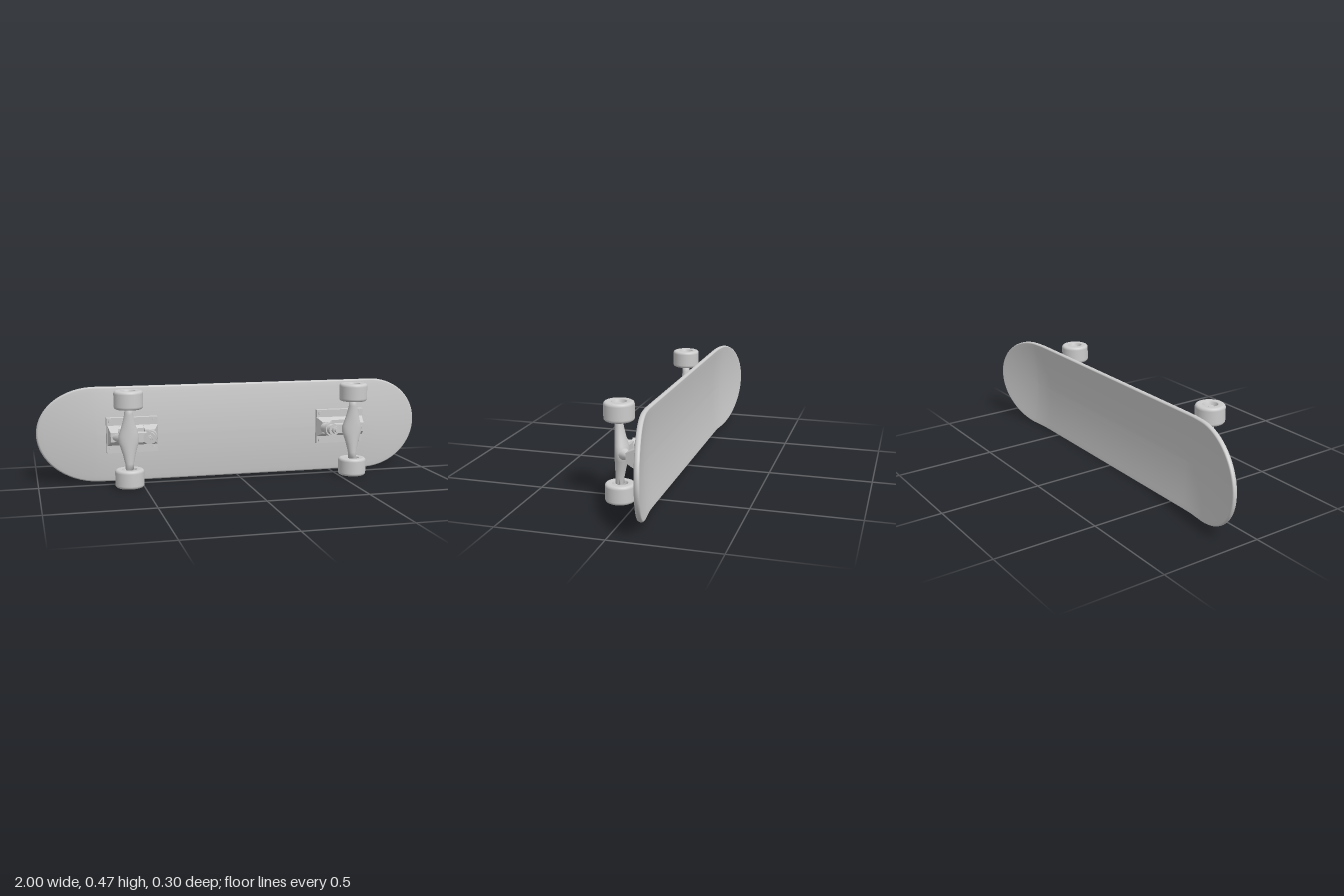
import * as THREE from 'three';

const material = new THREE.MeshStandardMaterial({ color: 0xcccccc });
const HALF_WIDTH = 0.237, MID_Y = 0.237;

function add(parent, name, geometry, x = 0, y = 0, z = 0) {
  const mesh = new THREE.Mesh(geometry, material);
  mesh.name = name;
  mesh.position.set(x, y, z);
  parent.add(mesh);
  return mesh;
}

// Closed-ring loft: each ring is an array of Vector3; caps fill the two ends if asked.
function loft(rings, caps) {
  const n = rings[0].length, pos = [], index = [];
  rings.forEach(r => r.forEach(p => pos.push(p.x, p.y, p.z)));
  for (let i = 0; i < rings.length - 1; i++) {
    for (let j = 0; j < n; j++) {
      const a = i * n + j, b = i * n + (j + 1) % n;
      index.push(a, a + n, b + n, a, b + n, b);
    }
  }
  if (caps) {
    const last = (rings.length - 1) * n;
    for (let j = 1; j < n - 1; j++) {
      index.push(0, j, j + 1, last, last + j + 1, last + j);
    }
  }
  const g = new THREE.BufferGeometry();
  g.setAttribute('position', new THREE.Float32BufferAttribute(pos, 3));
  g.setIndex(index);
  g.computeVertexNormals();
  return g;
}

// Deck: nested stadium outlines, bent up at both ends and slightly dished across.
function deckGeometry() {
  const straight = 0.71, endLength = 0.29, thick = 0.025;
  const outline = [];
  for (const s of [1, -1]) {
    for (let i = 0; i <= 32; i++) {
      const t = -Math.PI / 2 + Math.PI * i / 32;
      outline.push([s * straight, s * Math.cos(t) * endLength, s * Math.sin(t) * HALF_WIDTH]);
    }
    for (let i = 1; i < 24; i++) {
      outline.push([s * straight * (1 - i / 12), 0, s * HALF_WIDTH]);
    }
  }
  const surface = (x, y) =>
    -0.043 - 0.017 * (y / HALF_WIDTH) ** 2 - 0.066 * 1.24 * Math.max(0, (Math.abs(x) - 0.63) / 0.37) ** 1.6;
  const inner = [0, 0.15, 0.3, 0.45, 0.6, 0.75, 0.88];
  const levels = inner.map(k => [k, 0]);
  for (let i = 0; i <= 8; i++) {
    const t = Math.PI * i / 8;
    levels.push([0.965 + 0.035 * Math.sin(t), thick * (1 - Math.cos(t)) / 2]);
  }
  levels.push(...inner.slice().reverse().map(k => [k, thick]));
  return loft(levels.map(([k, depth]) => outline.map(([cx, ex, ey]) => {
    const x = cx + ex * k, y = ey * k;
    return new THREE.Vector3(x, y, surface(x, y) - depth);
  })), false);
}

// Wheel: rounded tyre with a recessed hub on both sides, axis along y.
function wheelGeometry() {
  const h = 0.0445, r = 0.07, c = 0.013, pts = [];
  const half = [[0, 0.022], [0.028, 0.022], [0.029, 0.022], [0.034, h - 0.003], [0.038, h]];
  for (let i = 0; i <= 5; i++) {
    const t = Math.PI / 2 * (1 - i / 5);
    half.push([r - c + c * Math.cos(t), h - c + c * Math.sin(t)]);
  }
  half.push([r, h - c - 0.001]);
  half.forEach(([x, y]) => pts.push(new THREE.Vector2(x, -y)));
  half.reverse().forEach(([x, y]) => pts.push(new THREE.Vector2(x, y)));
  return new THREE.LatheGeometry(pts, 40);
}

// Block between z0 and z1 whose outer (z1) end has its own size and x shift.
function taperedBlock(w0, h0, w1, h1, z0, z1, shift = 0) {
  const g = new THREE.BoxGeometry(1, 1, 1), p = g.attributes.position;
  for (let i = 0; i < p.count; i++) {
    const top = p.getZ(i) > 0;
    p.setXYZ(i, p.getX(i) * (top ? w1 : w0) + (top ? shift : 0),
      p.getY(i) * (top ? h1 : h0), top ? z1 : z0);
  }
  g.computeVertexNormals();
  return g;
}

// Hanger: elliptical sections along the axle, swelling in the middle with a straight front.
function hangerGeometry() {
  const half = [[0.15, 0.019, 0.064], [0.12, 0.021, 0.062], [0.075, 0.031, 0.053],
    [0.035, 0.043, 0.043], [0.015, 0.05, 0.038]];
  const stations = [...half.map(([y, ...r]) => [-y, ...r]), ...half.slice().reverse()];
  return loft(stations.map(([y, rx, back]) => {
    const ring = [], mid = (0.103 + back) / 2, rz = (0.103 - back) / 2;
    for (let j = 0; j < 24; j++) {
      const t = Math.PI * 2 * j / 24;
      ring.push(new THREE.Vector3(Math.cos(t) * rx, y, mid + Math.sin(t) * rz));
    }
    return ring.reverse();
  }).reverse(), true);
}

// Cylinder running between two points of the y = 0 plane.
function rod(parent, name, from, to, r0, r1, sides = 20) {
  const a = new THREE.Vector3(from[0], 0, from[1]), b = new THREE.Vector3(to[0], 0, to[1]);
  const mesh = add(parent, name, new THREE.CylinderGeometry(r1, r0, a.distanceTo(b), sides));
  mesh.position.copy(a).lerp(b, 0.5);
  mesh.quaternion.setFromUnitVectors(new THREE.Vector3(0, 1, 0), b.sub(a).normalize());
}

// Truck: local +x points to the nearer end of the deck.
function createTruck() {
  const truck = new THREE.Group();

  // Baseplate with its pivot housing, kingpin seat and joining rib
  add(truck, 'baseplate', taperedBlock(0.254, 0.178, 0.25, 0.174, -0.05, -0.025), -0.03);
  add(truck, 'pivotHousing', taperedBlock(0.06, 0.1, 0.035, 0.045, -0.026, 0.028, 0.002), 0.062);
  add(truck, 'kingpinSeat', taperedBlock(0.075, 0.1, 0.05, 0.06, -0.026, 0.012, 0.008), -0.12);
  add(truck, 'baseRib', taperedBlock(0.17, 0.1, 0.14, 0.07, -0.026, -0.008), -0.03);
  for (const x of [-0.137, 0.077]) {
    for (const y of [-0.07, 0.07]) {
      const bolt = add(truck, 'mountingBolt', new THREE.CylinderGeometry(0.011, 0.011, 0.012, 6), x, y, -0.02);
      bolt.rotation.x = Math.PI / 2;
    }
  }

  // Hanger with its pivot arm and the yoke around the kingpin
  add(truck, 'hanger', hangerGeometry());
  rod(truck, 'pivotArm', [0.015, 0.068], [0.066, 0.012], 0.033, 0.014);
  add(truck, 'yoke', taperedBlock(0.075, 0.055, 0.075, 0.045, 0.043, 0.062), -0.06);

  // Kingpin stack along its tilted axis; distances run from the base outwards
  const along = d => [-0.128 + 0.28 * d, -0.02 + 0.96 * d];
  [['innerBushing', 0.025, 0.062, 0.027, 0.024, 24],
    ['yokeRing', 0.062, 0.08, 0.034, 0.034, 24],
    ['outerBushing', 0.08, 0.1, 0.027, 0.024, 24],
    ['kingpinWasher', 0.1, 0.107, 0.03, 0.03, 24],
    ['kingpinNut', 0.107, 0.122, 0.018, 0.018, 6],
    ['kingpin', 0, 0.132, 0.01, 0.01, 16],
  ].forEach(([name, d0, d1, r0, r1, sides]) => rod(truck, name, along(d0), along(d1), r0, r1, sides));

  // Axle, wheels and axle nuts
  add(truck, 'axle', new THREE.CylinderGeometry(0.01, 0.01, 0.45, 16), 0, 0, 0.082);
  for (const s of [-1, 1]) {
    add(truck, 'wheel', wheelGeometry(), 0, s * 0.1905, 0.082);
    add(truck, 'axleNut', new THREE.CylinderGeometry(0.018, 0.018, 0.012, 6), 0, s * 0.218, 0.082);
  }
  return truck;
}

export function createModel() {
  const model = new THREE.Group();
  model.name = 'skateboard';
  add(model, 'deck', deckGeometry(), 0, MID_Y, 0);
  for (const s of [1, -1]) {
    const truck = createTruck();
    truck.name = s > 0 ? 'leftTruck' : 'rightTruck';
    truck.position.set(s * 0.57, MID_Y, 0);
    if (s < 0) truck.rotation.z = Math.PI;
    model.add(truck);
  }
  return model;
}
